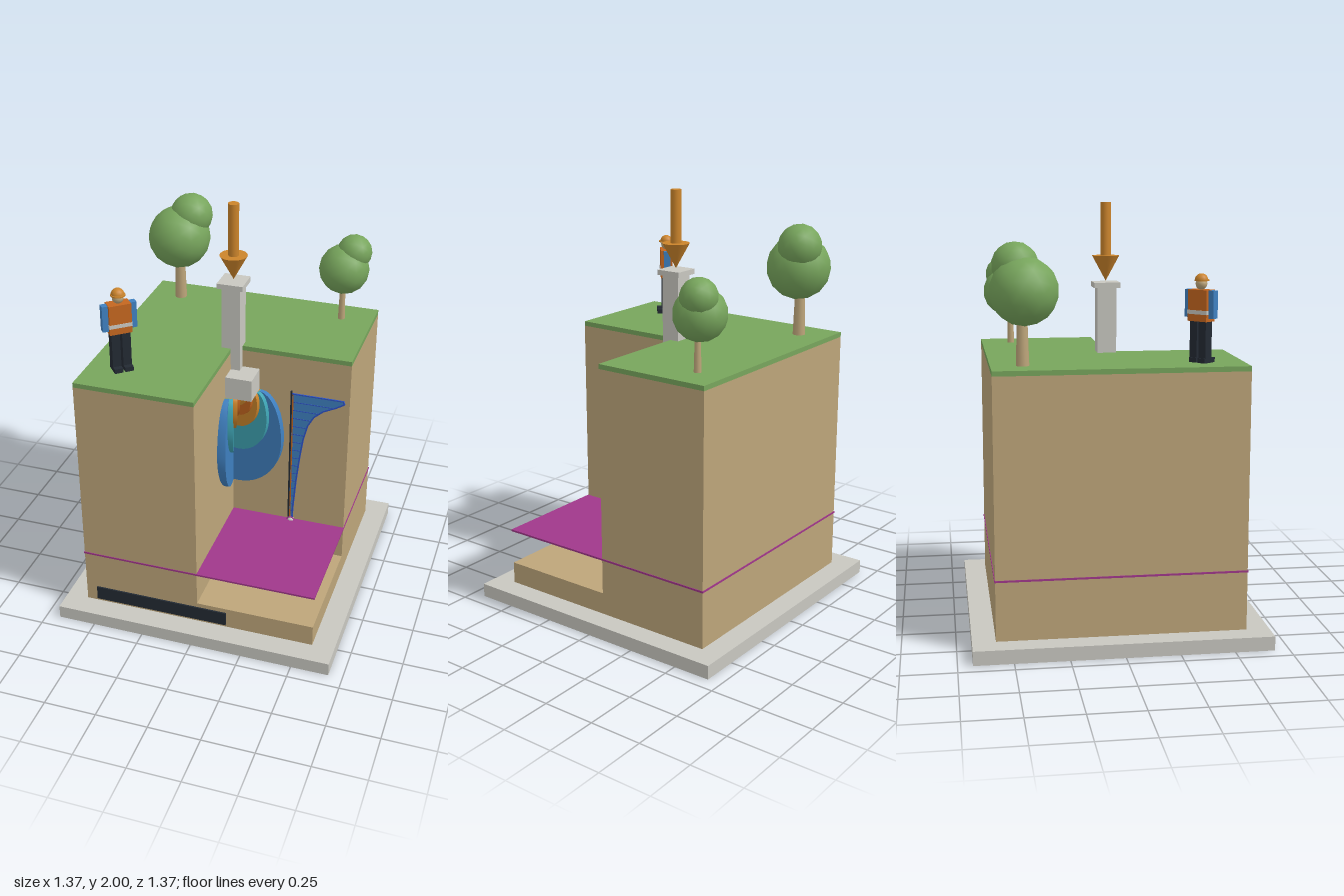
import * as THREE from 'three';

const mat = (name, color, side = THREE.FrontSide) => {
  const m = new THREE.MeshStandardMaterial({ color, side });
  m.name = name;
  return m;
};

export function createModel() {
  const M = {
    soil: mat('soil', 0xbda57a),
    grass: mat('grass', 0x77a55c),
    concrete: mat('concrete', 0xc8c7c0),
    magenta: mat('magenta', 0xa0388a),
    blue: mat('blue', 0x3f80c0, THREE.DoubleSide),
    teal: mat('teal', 0x3fa5b5, THREE.DoubleSide),
    amber: mat('amber', 0xcb842b, THREE.DoubleSide),
    rust: mat('rust', 0xc4661f, THREE.DoubleSide),
    dark: mat('charcoal', 0x232a33),
    royal: mat('royal blue', 0x2f55c8),
  };
  const root = new THREE.Group();
  root.name = 'foundationCutaway';

  const add = (parent, name, geo, material, x = 0, y = 0, z = 0) => {
    const mesh = new THREE.Mesh(geo, material);
    mesh.name = name;
    mesh.position.set(x, y, z);
    parent.add(mesh);
    return mesh;
  };
  const box = (parent, name, material, w, h, d, x, y, z) =>
    add(parent, name, new THREE.BoxGeometry(w, h, d), material, x, y, z);
  const group = (name, x = 0, y = 0, z = 0) => {
    const g = new THREE.Group();
    g.name = name;
    g.position.set(x, y, z);
    root.add(g);
    return g;
  };

  // Base slab and ground block with the front left quarter cut away
  const H = 0.575, GROUND = 1.29;
  box(root, 'baseSlab', M.concrete, 1.365, 0.066, 1.365, 0, 0.033, 0);
  box(root, 'soilBottom', M.soil, 2 * H, 0.106, 2 * H, 0, 0.119, 0);
  const lShape = new THREE.Shape(
    [[-H, -H], [0, -H], [0, 0], [H, 0], [H, H], [-H, H]].map(([x, y]) => new THREE.Vector2(x, y)));
  const lLayer = (name, material, y0, y1) => {
    const geo = new THREE.ExtrudeGeometry(lShape, { depth: y1 - y0, bevelEnabled: false });
    add(root, name, geo.rotateX(-Math.PI / 2), material, 0, y0, 0);
  };
  lLayer('soilBlock', M.soil, 0.172, 1.267);
  lLayer('grassLayer', M.grass, 1.267, GROUND);
  box(root, 'depthLimitSheet', M.magenta, 2 * H + 0.006, 0.009, 2 * H + 0.006, 0, 0.345, 0);
  box(root, 'signPlate', M.dark, 0.665, 0.07, 0.008, -0.187, 0.115, H + 0.004);

  // Footing, column and load arrow
  box(root, 'footing', M.concrete, 0.26, 0.11, 0.26, 0, 1.125, 0);
  box(root, 'column', M.concrete, 0.09, 0.425, 0.09, 0, 1.39, 0);
  box(root, 'columnCap', M.concrete, 0.125, 0.025, 0.125, 0, 1.6125, 0);
  const arrow = group('loadArrow');
  add(arrow, 'arrowShaft', new THREE.CylinderGeometry(0.025, 0.025, 0.26, 20), M.amber, 0, 1.87, 0);
  add(arrow, 'arrowHead', new THREE.ConeGeometry(0.065, 0.12, 24).rotateX(Math.PI), M.amber, 0, 1.69, 0);

  // Nested pressure bulbs: a wedge on each cut face, inner ones standing further out
  const bulbs = group('pressureBulbs');
  const TOP = 1.07;
  const bulbProfile = (start, rMax, yMax, yBottom) => {
    const pts = [];
    for (let i = 0; i <= 8; i++) { // upper part, from the footing to the widest point
      const t = (i / 8) * Math.PI / 2;
      pts.push(new THREE.Vector2(start + (rMax - start) * Math.sin(t), yMax + (TOP - yMax) * Math.cos(t)));
    }
    for (let i = 1; i <= 14; i++) { // lower part, closing on the axis
      const t = (i / 14) * Math.PI / 2;
      pts.push(new THREE.Vector2(rMax * Math.cos(t), yMax - (yMax - yBottom) * Math.sin(t)));
    }
    return pts;
  };
  [
    ['outerBulb', M.blue, 0.14, 0.258, 0.81, 0.525, 9],
    ['secondBulb', M.teal, 0.135, 0.192, 0.93, 0.715, 17],
    ['thirdBulb', M.amber, 0.13, 0.152, 1.01, 0.85, 25],
    ['fourthBulb', M.rust, 0.115, 0.125, 1.03, 0.915, 32],
    ['innerBulb', M.amber, 0.09, 0.095, 1.04, 0.97, 38],
  ].forEach(([name, material, start, rMax, yMax, yBottom, deg]) => {
    const pts = bulbProfile(start, rMax, yMax, yBottom);
    const face = new THREE.ShapeGeometry(new THREE.Shape([new THREE.Vector2(0, TOP), ...pts]));
    const a = THREE.MathUtils.degToRad(deg);
    [[0, a], [Math.PI / 2 - a, Math.PI / 2 - a]].forEach(([phi0, cut]) => {
      add(bulbs, name + 'Skin', new THREE.LatheGeometry(pts.slice().reverse(), 6, phi0, a), material);
      add(bulbs, name + 'Face', face, material).rotation.y = cut - Math.PI / 2;
    });
  });

  // Stress against depth chart on the back cut face
  const chart = group('stressChart');
  const curve = [[0.545, 1.075], [0.55, 1.06], [0.51, 1.035], [0.45, 1.005], [0.405, 0.965], [0.375, 0.91],
    [0.355, 0.83], [0.34, 0.72], [0.325, 0.58], [0.313, 0.42], [0.303, 0.175]];
  const area = new THREE.Shape([[0.295, 0.175], [0.295, 1.075], ...curve].map(([x, y]) => new THREE.Vector2(x, y)));
  add(chart, 'chartArea', new THREE.ExtrudeGeometry(area, { depth: 0.004, bevelEnabled: false }), M.blue, 0, 0, 0.001);
  box(chart, 'chartAxis', M.dark, 0.007, 0.915, 0.009, 0.291, 0.6325, 0.005);
  box(chart, 'chartLimitLine', M.rust, 0.006, 0.9, 0.006, 0.299, 0.625, 0.004);
  box(chart, 'chartTopLine', M.royal, 0.25, 0.006, 0.006, 0.42, 1.075, 0.005);
  for (let i = 1; i < curve.length; i++) {
    const [x0, y0] = curve[i - 1], [x1, y1] = curve[i];
    const seg = box(chart, 'chartCurve', M.royal, Math.hypot(x1 - x0, y1 - y0) + 0.004, 0.007, 0.007,
      (x0 + x1) / 2, (y0 + y1) / 2, 0.005);
    seg.rotation.z = Math.atan2(y1 - y0, x1 - x0);
  }
  const widthAt = (y) => {
    const i = Math.max(1, curve.findIndex((p) => p[1] <= y));
    const [x0, y0] = curve[i - 1], [x1, y1] = curve[i];
    return x0 + (x1 - x0) * (y0 - y) / (y0 - y1) - 0.295;
  };
  for (let y = 1.03; y > 0.2; y -= 0.045) {
    const w = widthAt(y);
    box(chart, 'chartBar', M.royal, w, 0.004, 0.005, 0.295 + w / 2, y, 0.004);
  }
  add(chart, 'depthMarker', new THREE.SphereGeometry(0.018, 16, 12), M.concrete, 0.305, 0.345, 0.006);
  add(chart, 'markerRing', new THREE.TorusGeometry(0.018, 0.004, 8, 20), M.magenta, 0.305, 0.345, 0.01);

  // Trees
  const tree = (name, x, z, trunkR, trunkH, crowns) => {
    const g = group(name, x, GROUND, z);
    add(g, 'trunk', new THREE.CylinderGeometry(trunkR * 0.75, trunkR, trunkH, 10), M.soil, 0, trunkH / 2, 0);
    crowns.forEach(([r, cx, cy, cz]) =>
      add(g, 'crown', new THREE.IcosahedronGeometry(r, 2), M.grass, cx, cy, cz));
  };
  tree('largeTree', -0.42, -0.43, 0.03, 0.24, [[0.155, 0.003, 0.33, 0.01], [0.106, 0.055, 0.44, -0.025]]);
  tree('smallTree', 0.42, -0.43, 0.017, 0.18, [[0.122, 0, 0.26, -0.012], [0.085, 0.042, 0.345, -0.035]]);

  // Site worker looking towards the cut
  const worker = group('worker', -0.42, GROUND, 0.375);
  worker.rotation.y = 0.7;
  [-1, 1].forEach((s) => {
    box(worker, 'boot', M.dark, 0.04, 0.022, 0.075, s * 0.025, 0.011, 0.01);
    box(worker, 'leg', M.dark, 0.04, 0.175, 0.045, s * 0.025, 0.105, 0);
    box(worker, 'arm', M.blue, 0.028, 0.125, 0.032, s * 0.067, 0.265, 0);
  });
  box(worker, 'vest', M.rust, 0.105, 0.142, 0.06, 0, 0.258, 0);
  box(worker, 'vestStripe', M.concrete, 0.108, 0.018, 0.064, 0, 0.228, 0);
  add(worker, 'head', new THREE.SphereGeometry(0.027, 14, 10), M.soil, 0, 0.355, 0);
  add(worker, 'helmet', new THREE.SphereGeometry(0.031, 14, 7, 0, Math.PI * 2, 0, Math.PI / 2), M.amber, 0, 0.37, 0);
  add(worker, 'helmetBrim', new THREE.CylinderGeometry(0.034, 0.034, 0.006, 16), M.amber, 0, 0.37, 0.004);

  return root;
}
